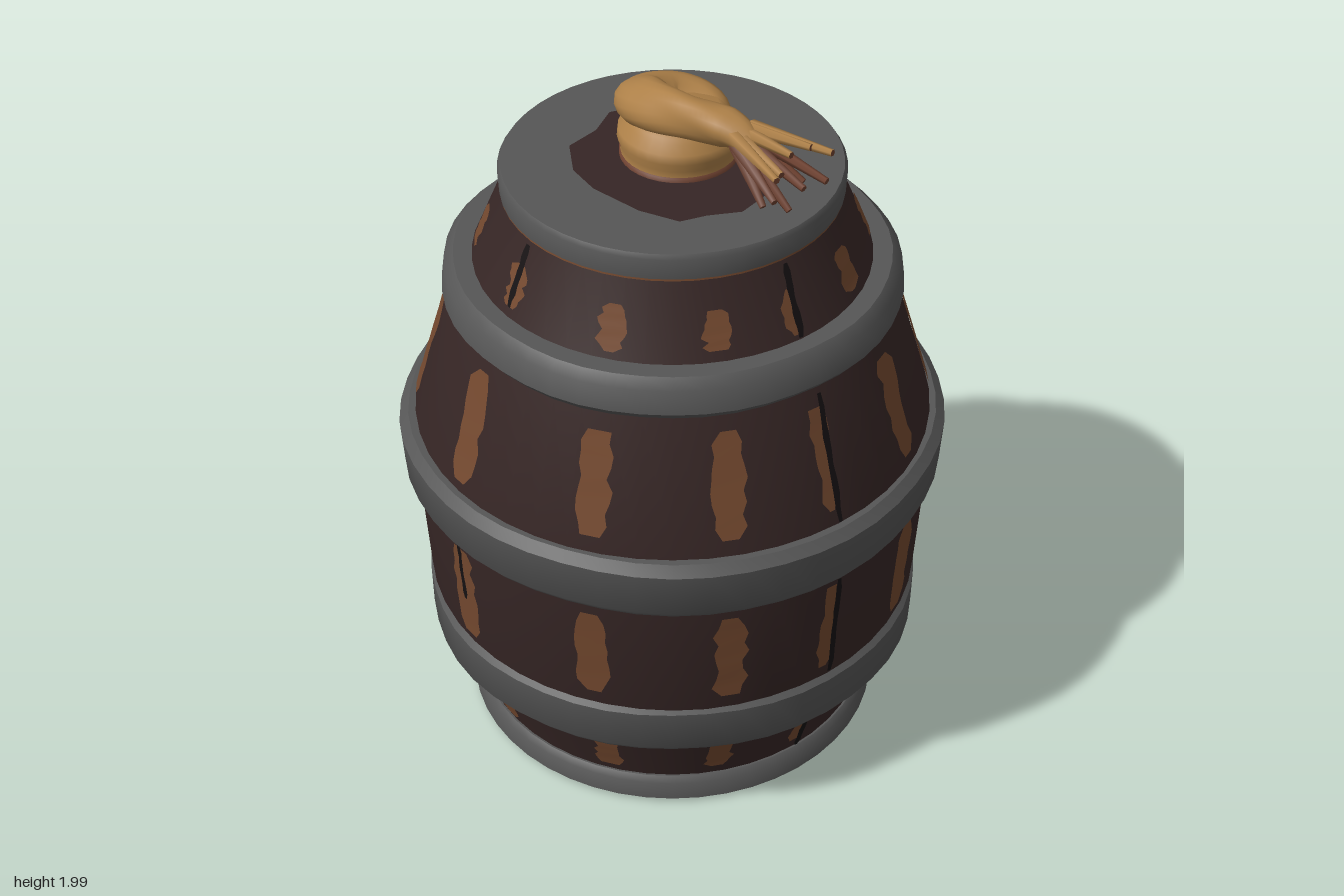
import * as THREE from 'three';
import { toCreasedNormals } from 'three/addons/utils/BufferGeometryUtils.js';

const mat = (name, color) => new THREE.MeshStandardMaterial({ name, color });
const V = (x, y, z) => new THREE.Vector3(x, y, z);

// Barrel wall: [radius, height], bottom to top
const WALL = [[0.545, 0.05], [0.62, 0.29], [0.682, 0.46], [0.704, 0.82], [0.698, 1.0],
  [0.59, 1.36], [0.525, 1.47], [0.437, 1.68]];

function wallRadius(y) {
  let i = 0;
  while (i < WALL.length - 2 && y > WALL[i + 1][1]) i++;
  const [r0, y0] = WALL[i], [r1, y1] = WALL[i + 1];
  return r0 + (r1 - r0) * (y - y0) / (y1 - y0);
}

const lathe = (points, segments = 48) =>
  new THREE.LatheGeometry(points.map(([r, y]) => new THREE.Vector2(r, y)), segments);

// Slight hand-made wobble of a turned part
function wobble(geo, amount, phase) {
  const p = geo.attributes.position;
  for (let i = 0; i < p.count; i++) {
    const a = Math.atan2(p.getX(i), p.getZ(i));
    const k = 1 + amount * (Math.sin(4 * a + phase) + 0.6 * Math.sin(9 * a + 2 * phase));
    p.setX(i, p.getX(i) * k);
    p.setZ(i, p.getZ(i) * k);
  }
  return geo;
}

let seed = 7;
const rand = () => (seed = (seed * 16807) % 2147483647) / 2147483647;

// Thin ragged strip lying on the wall at an angle from the front
function wallStrip(angle, y0, y1, half, rag) {
  const rows = 9, pos = [], index = [];
  for (let i = 0; i <= rows; i++) {
    const t = i / rows, y = y0 + (y1 - y0) * t, r = wallRadius(y) + 0.005;
    const w = half * (i === 0 || i === rows ? 0.6 : 1);
    for (const s of [-1, 1]) {
      const a = angle + s * (w + (rand() - 0.5) * rag) / r;
      pos.push(r * Math.sin(a), y, r * Math.cos(a));
    }
    if (i < rows) {
      const k = i * 2;
      index.push(k, k + 1, k + 3, k, k + 3, k + 2);
    }
  }
  const geo = new THREE.BufferGeometry();
  geo.setAttribute('position', new THREE.Float32BufferAttribute(pos, 3));
  geo.setIndex(index);
  geo.computeVertexNormals();
  return geo;
}

// Tapered, twisted tube
function ropeTube(points, radii) {
  const curve = new THREE.CatmullRomCurve3(points);
  const n = 48, sides = 18;
  const geo = new THREE.TubeGeometry(curve, n, 1, sides);
  const p = geo.attributes.position, v = V();
  for (let i = 0; i <= n; i++) {
    const c = curve.getPointAt(i / n);
    const f = (i / n) * (radii.length - 1), k = Math.min(Math.floor(f), radii.length - 2);
    const r = radii[k] + (radii[k + 1] - radii[k]) * (f - k);
    for (let j = 0; j <= sides; j++) {
      const id = i * (sides + 1) + j;
      const strand = 1 + 0.08 * Math.sin(3 * (j / sides) * Math.PI * 2 + i * 0.3);
      v.fromBufferAttribute(p, id).sub(c).multiplyScalar(r * strand).add(c);
      p.setXYZ(id, v.x, v.y, v.z);
    }
  }
  geo.computeVertexNormals();
  return geo;
}

export function createModel() {
  const group = new THREE.Group();
  group.name = 'barrel';
  const wood = mat('dark wood', 0x362625);
  const worn = mat('worn wood', 0x74492f);
  const iron = mat('iron', 0x565656);
  const rope = mat('rope', 0xad8048);
  const frayed = mat('frayed rope', 0x6e4130);
  const gap = mat('seam', 0x151112);

  const add = (name, geo, material, parent = group) => {
    const mesh = new THREE.Mesh(geo, material);
    mesh.name = name;
    parent.add(mesh);
    return mesh;
  };

  // Wooden body
  add('staves', lathe(WALL), wood);

  // Iron hoops: [bottom, top, lower radius, upper radius]
  [[0.29, 0.46, 0.688, 0.69], [0.815, 0.99, 0.732, 0.74], [1.355, 1.472, 0.607, 0.598]]
    .forEach(([y0, y1, r0, r1], i) => {
      const b = 0.025;
      const geo = lathe([[wallRadius(y0) - 0.02, y0], [r0 - 0.02, y0], [r0, y0 + b],
        [r1, y1 - b], [r1 - 0.025, y1], [wallRadius(y1) - 0.02, y1]]);
      add('hoop' + (i + 1), toCreasedNormals(wobble(geo, 0.004, i * 2 + 1), 0.7), iron);
    });

  // Bottom and top iron caps
  add('bottomCap', toCreasedNormals(lathe([[0, 0], [0.565, 0], [0.58, 0.012], [0.575, 0.065],
    [0.56, 0.08], [0.53, 0.08]]), 0.7), iron);
  add('topCap', toCreasedNormals(lathe([[0.42, 1.672], [0.445, 1.672], [0.448, 1.73],
    [0.44, 1.742], [0, 1.742]]), 0.7), iron);
  add('topCapEdge', lathe([[0.444, 1.66], [0.442, 1.673]]), worn);

  // Worn streaks, one per stave, in the four rows between hoops
  const streaks = new THREE.Group();
  streaks.name = 'wornStreaks';
  group.add(streaks);
  const angles = [0, 35, 65, 90, 115, 145, 180, 215, 245, 270, 295, 325];
  const rows = [[0.11, 0.26, 0.034], [0.48, 0.79, 0.041], [1.02, 1.32, 0.04], [1.485, 1.595, 0.032]];
  for (const [y0, y1, half] of rows) {
    for (const deg of angles) {
      const side = deg === 90 || deg === 270;
      const lo = y0 + rand() * 0.02, hi = y1 - rand() * 0.03 + 0.02;
      const a = deg * Math.PI / 180 + (side ? -0.03 : 0);
      add('streak', wallStrip(a, lo, hi, side ? half * 0.55 : half, 0.02), worn, streaks);
    }
  }

  // Dark open seams: [degrees, bottom, top]
  const seams = [[0, 1.5, 1.66], [0, 0.62, 0.81], [180, 1.5, 1.65]];
  for (const deg of [90, 270]) {
    seams.push([deg, 0.09, 0.28], [deg, 0.47, 0.81], [deg, 1.0, 1.35], [deg, 1.48, 1.66]);
  }
  for (const [deg, y0, y1] of seams) {
    const strip = add('seam', wallStrip(deg * Math.PI / 180, y0, y1, 0.009, 0.006), gap);
    strip.scale.set(1.004, 1, 1.004);
  }

  // Bare wooden patch in the middle of the lid
  const outline = [[-0.05, -0.25], [0.1, -0.24], [0.21, -0.18], [0.28, -0.1], [0.31, 0.02],
    [0.27, 0.1], [0.25, 0.17], [0.15, 0.22], [0, 0.25], [-0.1, 0.24], [-0.2, 0.18],
    [-0.22, 0.08], [-0.27, 0], [-0.24, -0.1], [-0.18, -0.17], [-0.12, -0.24]];
  const shape = new THREE.Shape(outline.map(([x, z]) => new THREE.Vector2(x, -z)));
  const patch = add('lidPatch', new THREE.ShapeGeometry(shape).rotateX(-Math.PI / 2), wood);
  patch.position.y = 1.746;

  // Rope knot on the lid
  const knot = add('ropeKnot', lathe([[0.152, 1.755], [0.15, 1.775], [0.16, 1.8], [0.157, 1.825],
    [0.135, 1.845], [0.132, 1.86], [0.1, 1.885], [0, 1.9]], 32), rope);
  knot.position.set(-0.01, 0, -0.03);
  const foot = add('knotFoot', lathe([[0.155, 1.74], [0.155, 1.758], [0.14, 1.762]], 32), frayed);
  foot.position.copy(knot.position);

  // Rope end winding off the knot
  add('ropeEnd', ropeTube([V(0.08, 1.79, -0.09), V(-0.02, 1.83, -0.11), V(-0.095, 1.85, -0.06),
    V(-0.09, 1.875, 0.025), V(0, 1.91, 0.055), V(0.1, 1.935, 0.045), V(0.19, 1.943, 0.02),
    V(0.26, 1.94, 0), V(0.31, 1.92, -0.01)],
  [0.05, 0.065, 0.07, 0.07, 0.068, 0.06, 0.053, 0.05, 0.03]), rope);

  // Frayed strands at the tip
  const strand = (tip, side) => {
    const start = V(0.27, 1.935 + (tip.y - 1.9) * 0.25, tip.z * 0.35);
    const dir = tip.clone().sub(start);
    const geo = new THREE.CylinderGeometry(0.009, 0.02, dir.length(), 6);
    const mesh = add('strand', geo, [side, frayed, frayed]);
    mesh.position.copy(start).addScaledVector(dir, 0.5);
    mesh.quaternion.setFromUnitVectors(V(0, 1, 0), dir.normalize());
  };
  [V(0.5, 1.965, -0.1), V(0.45, 1.965, -0.075), V(0.49, 1.945, 0.065), V(0.46, 1.93, 0.025),
    V(0.43, 1.95, -0.03)].forEach((t) => strand(t, rope));
  [V(0.5, 1.89, -0.085), V(0.46, 1.86, 0.045), V(0.44, 1.8, -0.02), V(0.4, 1.81, 0.03),
    V(0.48, 1.88, -0.03), V(0.42, 1.85, -0.08)].forEach((t) => strand(t, frayed));

  return group;
}
